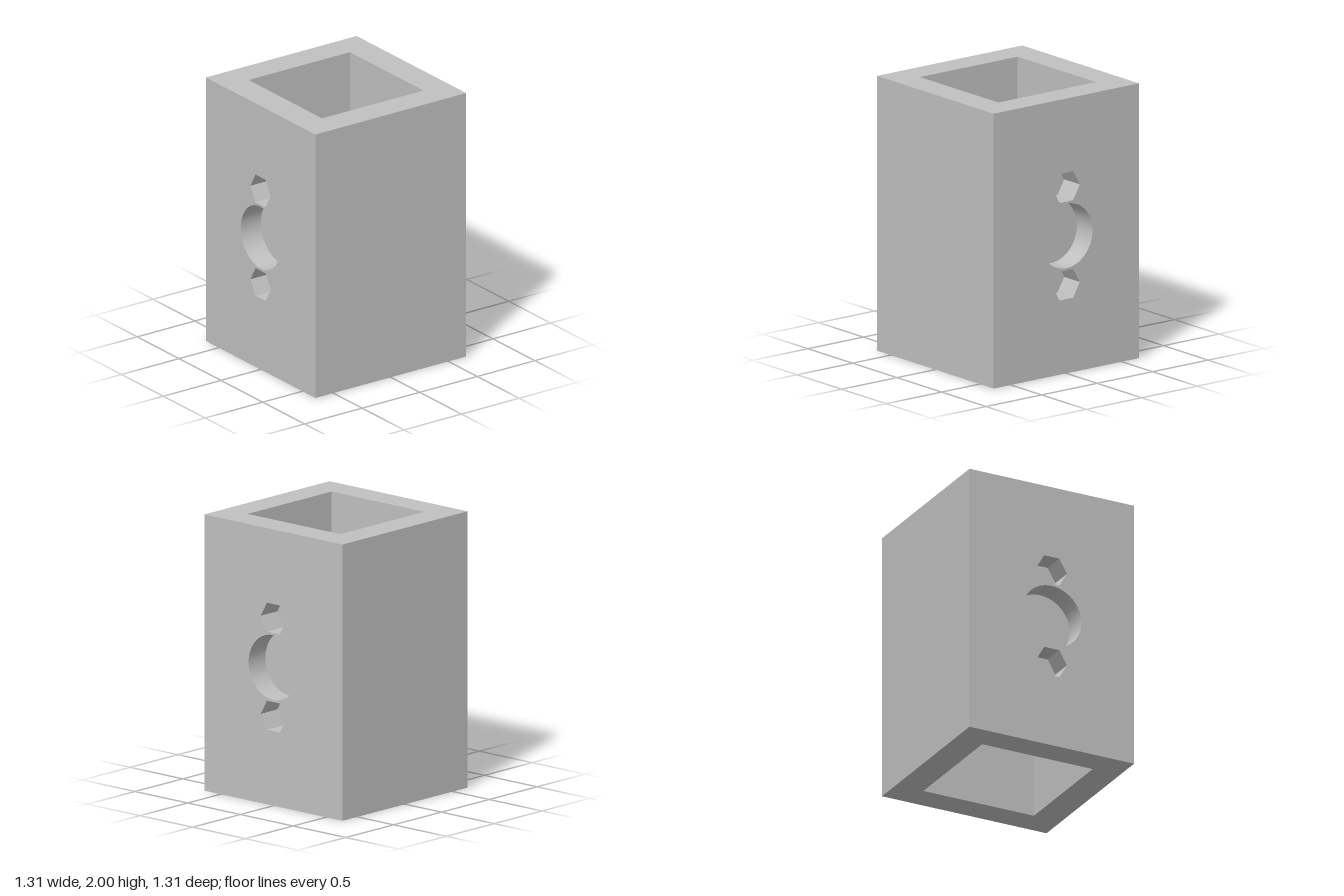
import * as THREE from 'three';
import { toCreasedNormals } from 'three/addons/utils/BufferGeometryUtils.js';

const HALF = 0.655;     // half the outer width
const BORE = 0.44;      // half the square opening
const HEIGHT = 2;
const POCKET = 0.175;   // depth of the blind holes in the side walls

// rectangle centred on the origin, as a Shape or a Path
function rect(Kind, hw, hh) {
  return new Kind([
    new THREE.Vector2(-hw, -hh), new THREE.Vector2(hw, -hh),
    new THREE.Vector2(hw, hh), new THREE.Vector2(-hw, hh),
  ]);
}

function hexagon(cy, r) {
  const points = [];
  for (let i = 0; i < 6; i++) {
    const a = (i * Math.PI) / 3;
    points.push(new THREE.Vector2(r * Math.cos(a), cy + r * Math.sin(a)));
  }
  return new THREE.Path(points);
}

export function createModel() {
  const model = new THREE.Group();
  model.name = 'squareTubeBlock';
  const grey = new THREE.MeshStandardMaterial({ color: 0xc0c0c0 });
  grey.name = 'grey';

  // square tube; its outer side faces are the floors of the pockets
  const coreHalf = HALF - POCKET;
  const ring = rect(THREE.Shape, coreHalf, HALF);
  ring.holes.push(rect(THREE.Path, BORE, BORE));
  const coreGeometry = new THREE.ExtrudeGeometry(ring, { depth: HEIGHT, bevelEnabled: false });
  coreGeometry.rotateX(-Math.PI / 2);
  const core = new THREE.Mesh(coreGeometry, grey);
  core.name = 'tubeCore';
  model.add(core);

  // outer side layer with a round pocket between two hexagonal ones
  const panel = rect(THREE.Shape, HALF, HEIGHT / 2);
  const round = new THREE.Path();
  round.absarc(0, 0, 0.235, 0, Math.PI * 2);
  panel.holes.push(round, hexagon(0.355, 0.121), hexagon(-0.355, 0.121));
  const panelGeometry = toCreasedNormals(
    new THREE.ExtrudeGeometry(panel, { depth: POCKET, bevelEnabled: false, curveSegments: 32 }),
    0.5
  );
  panelGeometry.translate(0, 0, coreHalf);

  for (const side of [1, -1]) {
    const wall = new THREE.Mesh(panelGeometry, grey);
    wall.name = side > 0 ? 'leftPocketWall' : 'rightPocketWall';
    wall.position.y = HEIGHT / 2;
    wall.rotation.y = (side * Math.PI) / 2;
    model.add(wall);
  }
  return model;
}
